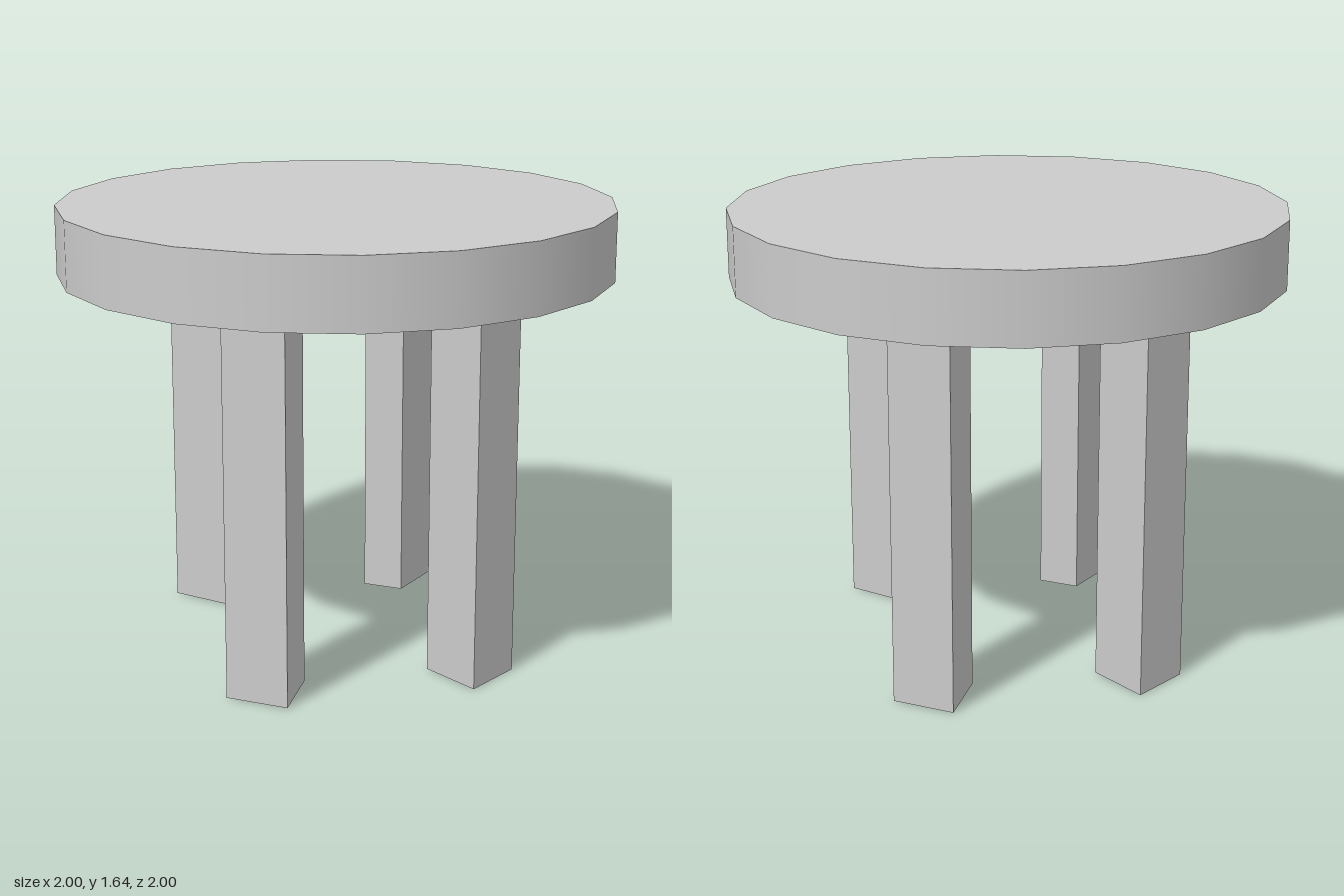
import * as THREE from 'three';

const SEAT_BOTTOM = 1.39, SEAT_TOP = 1.64;
const LEG_INNER = 0.5, LEG_OUTER = 0.74; // leg radii from the centre
const STEP = Math.PI / 10; // one side of the 20-sided seat

// Wedge-shaped leg spanning one side of the seat, starting at an angle from +z
function legGeometry(start) {
  const corner = (r, a) => new THREE.Vector2(r * Math.sin(a), -r * Math.cos(a));
  const end = start + STEP;
  const shape = new THREE.Shape([
    corner(LEG_OUTER, start), corner(LEG_OUTER, end),
    corner(LEG_INNER, end), corner(LEG_INNER, start),
  ]);
  const geometry = new THREE.ExtrudeGeometry(shape, { depth: SEAT_BOTTOM, bevelEnabled: false });
  return geometry.rotateX(-Math.PI / 2);
}

export function createModel() {
  const model = new THREE.Group();
  model.name = 'stool';
  const material = new THREE.MeshStandardMaterial({ color: 0xcccccc });

  // Round seat slab
  const height = SEAT_TOP - SEAT_BOTTOM;
  const seat = new THREE.Mesh(new THREE.CylinderGeometry(1, 1, height, 20), material);
  seat.name = 'seat';
  seat.position.y = SEAT_BOTTOM + height / 2;
  model.add(seat);

  // Four legs, in opposite pairs
  const legs = { frontLeftLeg: 1, backLeftLeg: 7, backRightLeg: 11, frontRightLeg: 17 };
  for (const [name, side] of Object.entries(legs)) {
    const leg = new THREE.Mesh(legGeometry(side * STEP), material);
    leg.name = name;
    model.add(leg);
  }
  return model;
}
